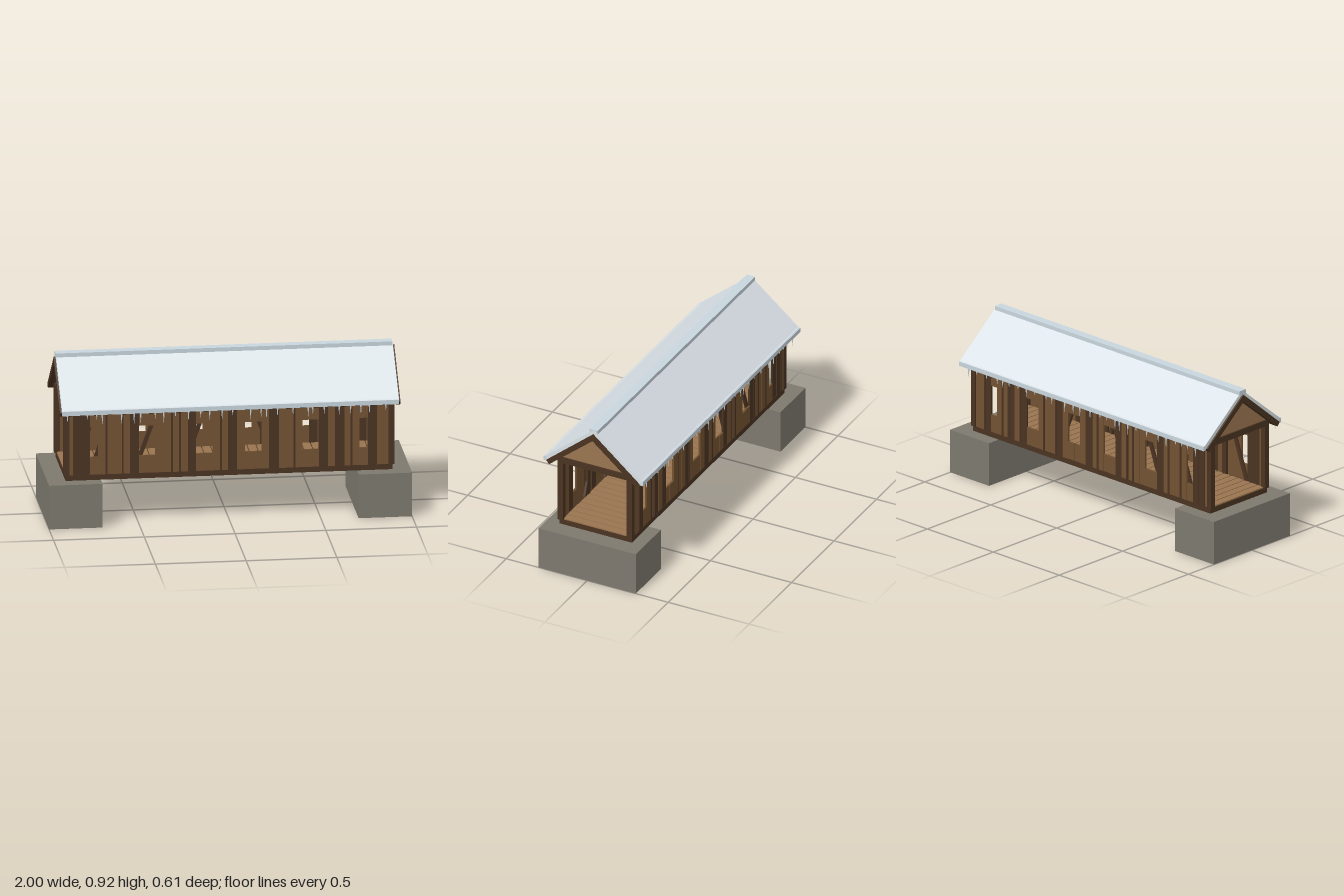
import * as THREE from 'three';

const mat = (name, color) => {
  const m = new THREE.MeshStandardMaterial({ color });
  m.name = name;
  return m;
};

export function createModel() {
  const root = new THREE.Group();
  root.name = 'coveredBridge';
  const stone = mat('stone', 0x7d796e);
  const dark = mat('darkTimber', 0x4a3322);
  const mid = mat('sidingBrown', 0x735232);
  const tan = mat('deckTan', 0x9a7550);
  const snow = mat('snow', 0xdfe7ec);
  const ice = mat('ice', 0xc9d6de);

  let seed = 7;
  const rand = () => (seed = (seed * 16807) % 2147483647) / 2147483647;

  const add = (name, geo, material, parent = root) => {
    const m = new THREE.Mesh(geo, material);
    m.name = name;
    parent.add(m);
    return m;
  };
  // Box given by its extents on each axis
  const box = (name, x0, x1, y0, y1, z0, z1, material, parent) => {
    const m = add(name, new THREE.BoxGeometry(x1 - x0, y1 - y0, Math.abs(z1 - z0)), material, parent);
    m.position.set((x0 + x1) / 2, (y0 + y1) / 2, (z0 + z1) / 2);
    return m;
  };
  // Cross-section in (z, y) run along x, centred on x
  const runAlongX = (name, pts, length, material, x = 0) => {
    const shape = new THREE.Shape(pts.map(p => new THREE.Vector2(p[0], p[1])));
    const geo = new THREE.ExtrudeGeometry(shape, { depth: length, bevelEnabled: false });
    geo.rotateY(Math.PI / 2).translate(x - length / 2, 0, 0);
    return add(name, geo, material);
  };
  // Symmetric gable section from its outer and inner halves, both listed from the ridge outwards
  const gable = (outer, inner) => {
    const half = [...outer, ...inner.slice().reverse()];
    const mirror = half.slice(1, -1).reverse().map(([z, y]) => [-z, y]);
    return [...half, ...mirror];
  };

  // Abutments and floor
  for (const s of [-1, 1]) {
    box('abutment', s * 0.8525 - 0.1475, s * 0.8525 + 0.1475, 0, 0.25, -0.3, 0.3, stone);
  }
  box('floorBeam', -0.9, 0.9, 0.25, 0.28, -0.223, 0.223, dark);
  for (let i = 0; i < 36; i++) {
    const x = -0.9 + i * 0.05;
    box('deckPlank', x + 0.003, x + 0.047, 0.28, 0.287, -0.2, 0.2, tan);
  }

  // Side walls: upright boards, with pairs cut short around the windows
  const tones = 'mddmmmmmdmmmmmmdmmmmdmmmmdmmmmmdmdmmmdmm';
  const windows = new Set([3, 9, 10, 16, 17, 22, 23, 29, 30, 36]);
  for (const s of [-1, 1]) {
    const wall = new THREE.Group();
    wall.name = s > 0 ? 'frontWall' : 'backWall';
    root.add(wall);
    for (let i = 0; i < 40; i++) {
      const x = -0.9 + i * 0.045;
      const z = s * (0.219 + rand() * 0.005);
      const m = tones[i] === 'd' ? dark : mid;
      const spans = windows.has(i) ? [[0.28, 0.38], [0.55, 0.66]] : [[0.28, 0.66]];
      for (const [a, b] of spans) {
        box('sidingBoard', x, x + 0.045, a, b, s * 0.211, z, m, wall);
        // Narrow batten over some joints
        if (i > 0 && !windows.has(i) && !windows.has(i - 1) && i % 3 !== 0) {
          box('batten', x - 0.005, x + 0.005, a, b, z, s * 0.227, dark, wall);
        }
      }
    }
    // Frame posts, plates and sloping braces inside the wall
    for (const x of [-0.895, -0.6, -0.3, 0, 0.3, 0.6, 0.895]) {
      const end = Math.abs(x) > 0.8;
      box('post', x - 0.015, x + 0.015, 0.28, 0.665, s * 0.197, s * (end ? 0.23 : 0.213), dark, wall);
    }
    box('topPlate', -0.91, 0.91, 0.645, 0.68, s * 0.197, s * 0.228, dark, wall);
    for (const x of [-0.7, -0.455, -0.19, 0.2, 0.33, 0.57]) {
      const brace = box('brace', x - 0.011, x + 0.011, 0.275, 0.655, s * 0.198, s * 0.211, dark, wall);
      brace.rotation.z = x < 0 ? -0.35 : 0.35;
    }
  }

  // Tie beams across the span
  for (const x of [-0.895, -0.6, -0.3, 0, 0.3, 0.6, 0.895]) {
    box('tieBeam', x - 0.015, x + 0.015, 0.645, 0.68, -0.215, 0.215, dark);
  }

  // Gable panels, roof timber and its snow cover
  for (const s of [-1, 1]) {
    runAlongX('gablePanel', [[-0.22, 0.675], [0.22, 0.675], [0, 0.857]], 0.012, tan, s * 0.895);
  }
  runAlongX('roofTimber', gable(
    [[0, 0.895], [0.285, 0.656]], [[0, 0.855], [0.268, 0.634]]), 1.876, dark);
  runAlongX('roofSnow', gable(
    [[0, 0.919], [0.293, 0.677], [0.301, 0.674], [0.306, 0.665], [0.303, 0.655]],
    [[0, 0.894], [0.286, 0.655]]), 1.856, snow);
  box('ridgeSnow', -0.93, 0.925, 0.888, 0.92, -0.026, 0.026, ice);

  // Snow lip and icicles along each eave
  for (const s of [-1, 1]) {
    box('eaveLip', -0.928, 0.928, 0.647, 0.672, s * 0.285, s * 0.306, ice);
    for (let i = 0; i < 28; i++) {
      const h = 0.025 + rand() * 0.045;
      const cone = add('icicle', new THREE.ConeGeometry(0.0055, h, 6), ice);
      cone.rotation.x = Math.PI;
      cone.position.set(-0.9 + (i + rand() * 0.8) * 0.064, 0.648 - h / 2, s * 0.295);
    }
  }
  return root;
}
